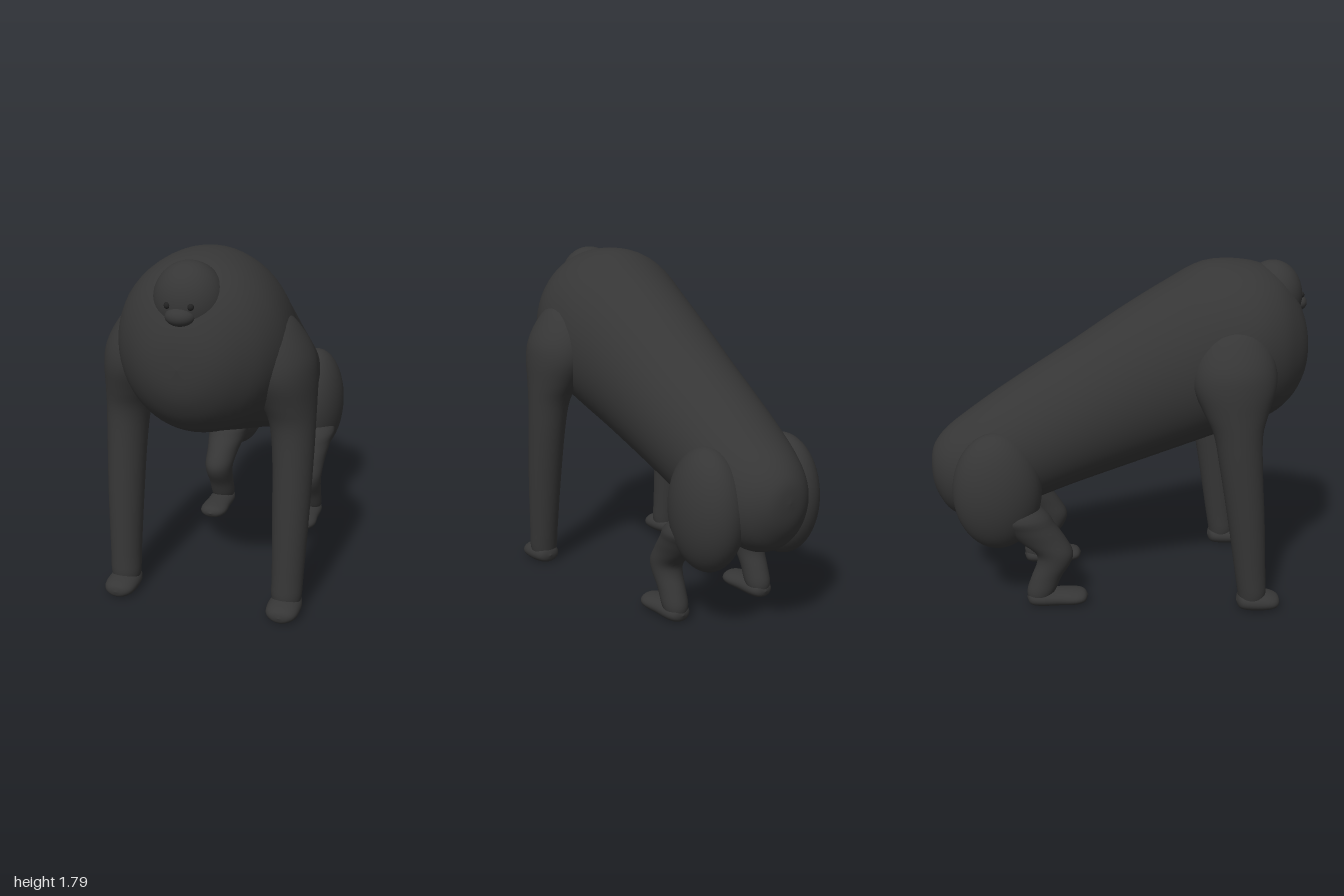
import * as THREE from 'three';

const skin = new THREE.MeshStandardMaterial({ color: 0x363636 });
skin.name = 'dark grey skin';
const eyeBlack = new THREE.MeshStandardMaterial({ color: 0x222222 });
eyeBlack.name = 'eye black';

// Smooth closed loft through elliptical sections [x, y, z, radiusX, radiusOther].
// upright = false: sections lie in XY and advance along +z.
// upright = true: sections lie in XZ and advance along +y.
function loft(rows, upright, sides = 40, steps = 4) {
  const centres = new THREE.CatmullRomCurve3(rows.map(r => new THREE.Vector3(r[0], r[1], r[2])), false, 'catmullrom', 0.5);
  const radii = new THREE.CatmullRomCurve3(rows.map(r => new THREE.Vector3(r[3], r[4], 0)), false, 'catmullrom', 0.5);
  const rings = (rows.length - 1) * steps;
  const pos = [], index = [];
  for (let i = 0; i <= rings; i++) {
    const c = centres.getPoint(i / rings), r = radii.getPoint(i / rings);
    for (let j = 0; j < sides; j++) {
      const a = (j / sides) * Math.PI * 2;
      const u = Math.max(r.x, 0) * Math.cos(a), v = Math.max(r.y, 0) * Math.sin(a);
      // Soles are flattened against the floor
      if (upright) pos.push(c.x + u, Math.max(c.y, 0), c.z - v);
      else pos.push(c.x + u, Math.max(c.y + v, 0), c.z);
      if (i < rings) {
        const k = (j + 1) % sides, p = i * sides, q = p + sides;
        index.push(p + j, p + k, q + k, p + j, q + k, q + j);
      }
    }
  }
  const geo = new THREE.BufferGeometry();
  geo.setAttribute('position', new THREE.Float32BufferAttribute(pos, 3));
  geo.setIndex(index);
  geo.computeVertexNormals();
  return geo;
}

function ellipsoid(name, material, centre, radii, tilt = 0) {
  const mesh = new THREE.Mesh(new THREE.SphereGeometry(1, 40, 28), material);
  mesh.name = name;
  mesh.position.set(...centre);
  mesh.scale.set(...radii);
  mesh.rotation.x = tilt;
  return mesh;
}

export function createModel() {
  const model = new THREE.Group();
  model.name = 'creature';
  const add = (name, geo) => {
    const mesh = new THREE.Mesh(geo, skin);
    mesh.name = name;
    model.add(mesh);
  };

  // Body sections: z, top, bottom, half width
  const body = [
    [-1.0, 0.72, 0.72, 0], [-0.99, 0.80, 0.62, 0.08], [-0.96, 0.86, 0.54, 0.14],
    [-0.9, 0.925, 0.46, 0.2], [-0.8, 1.0, 0.425, 0.25], [-0.65, 1.105, 0.45, 0.28],
    [-0.45, 1.235, 0.52, 0.3], [-0.25, 1.36, 0.595, 0.32], [0, 1.525, 0.68, 0.345],
    [0.25, 1.675, 0.765, 0.375], [0.45, 1.775, 0.835, 0.41], [0.65, 1.78, 0.905, 0.415],
    [0.8, 1.735, 0.955, 0.36], [0.9, 1.64, 1.03, 0.27], [0.96, 1.53, 1.12, 0.185],
    [0.99, 1.43, 1.21, 0.1], [1.0, 1.32, 1.32, 0],
  ].map(([z, top, bottom, w]) => [0, (top + bottom) / 2, z, w, (top - bottom) / 2]);
  add('body', loft(body, false, 56));

  // Low face set into the chest, with a small muzzle
  model.add(ellipsoid('head', skin, [0, 1.59, 0.81], [0.17, 0.185, 0.155]));
  model.add(ellipsoid('muzzle', skin, [0, 1.55, 0.94], [0.07, 0.045, 0.055]));

  for (const s of [1, -1]) {
    const side = s > 0 ? 'left' : 'right';
    const mirror = rows => rows.map(([x, ...rest]) => [x * s, ...rest]);

    model.add(ellipsoid(side + 'Eye', eyeBlack, [0.055 * s, 1.6, 0.952], [0.015, 0.016, 0.015]));

    // Shoulder and long straight front leg
    add(side + 'FrontLeg', loft(mirror([
      [0.428, 0.02, 0.66, 0.06, 0.06], [0.428, 0.09, 0.664, 0.076, 0.074],
      [0.43, 0.2, 0.652, 0.079, 0.08], [0.432, 0.5, 0.62, 0.09, 0.095],
      [0.43, 0.8, 0.583, 0.1, 0.11], [0.42, 0.97, 0.565, 0.112, 0.125],
      [0.395, 1.08, 0.555, 0.137, 0.165], [0.365, 1.2, 0.55, 0.166, 0.21],
      [0.345, 1.3, 0.55, 0.17, 0.21], [0.325, 1.4, 0.555, 0.138, 0.175],
      [0.31, 1.48, 0.56, 0.085, 0.11], [0.3, 1.52, 0.565, 0, 0],
    ]), true));
    add(side + 'FrontFoot', loft(mirror([
      [0.428, 0.045, 0.582, 0, 0], [0.428, 0.045, 0.6, 0.055, 0.04],
      [0.428, 0.045, 0.65, 0.078, 0.052], [0.428, 0.042, 0.72, 0.083, 0.052],
      [0.428, 0.038, 0.775, 0.074, 0.043], [0.428, 0.036, 0.805, 0.045, 0.028],
      [0.428, 0.036, 0.815, 0, 0],
    ]), false));

    // Rounded haunch and short bent hind leg
    model.add(ellipsoid(side + 'Haunch', skin, [0.235 * s, 0.64, -0.655], [0.165, 0.315, 0.23]));
    add(side + 'HindLeg', loft(mirror([
      [0.27, 0.02, -0.455, 0.05, 0.05], [0.27, 0.08, -0.44, 0.066, 0.075],
      [0.27, 0.16, -0.41, 0.068, 0.08], [0.27, 0.24, -0.37, 0.075, 0.09],
      [0.268, 0.3, -0.37, 0.082, 0.1], [0.262, 0.37, -0.43, 0.092, 0.125],
      [0.255, 0.45, -0.5, 0.112, 0.14], [0.25, 0.53, -0.56, 0.12, 0.14],
      [0.24, 0.65, -0.61, 0, 0],
    ]), true));
    add(side + 'HindFoot', loft(mirror([
      [0.27, 0.04, -0.517, 0, 0], [0.27, 0.04, -0.5, 0.048, 0.035],
      [0.27, 0.04, -0.45, 0.069, 0.046], [0.27, 0.038, -0.35, 0.071, 0.045],
      [0.27, 0.036, -0.26, 0.077, 0.041], [0.27, 0.036, -0.21, 0.055, 0.03],
      [0.27, 0.036, -0.19, 0, 0],
    ]), false));
  }
  return model;
}
